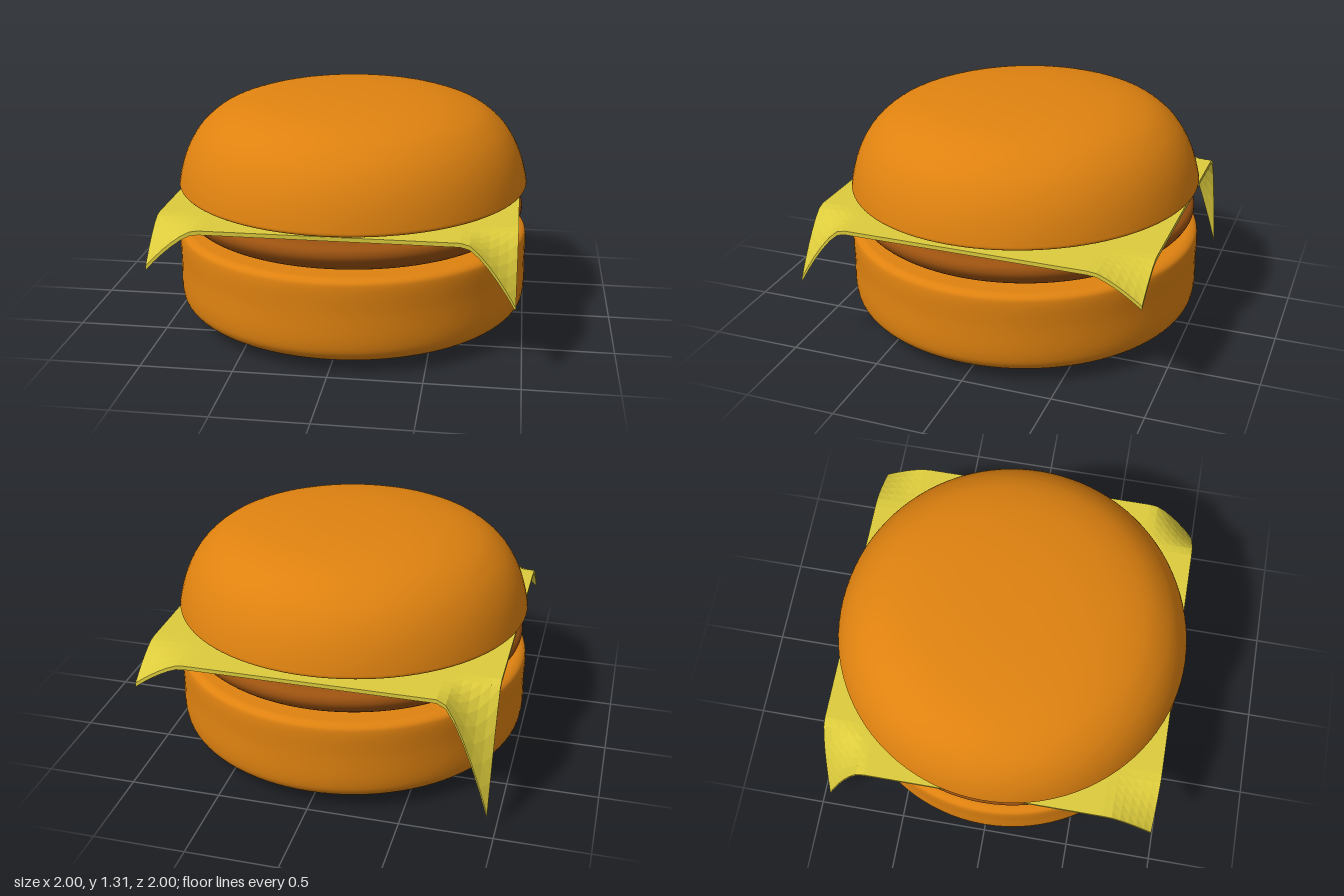
import * as THREE from 'three';

const BUN = 0xdf8210, PATTY = 0x9c5210, CHEESE = 0xdccb3c;

// Round part: smooth curve through [radius, height] points, bottom to top, turned about y
function turned(name, color, points) {
  const curve = new THREE.CatmullRomCurve3(
    points.map(([r, y]) => new THREE.Vector3(r, y, 0)), false, 'centripetal');
  const profile = curve.getPoints(points.length * 5)
    .map(p => new THREE.Vector2(Math.max(0, p.x), p.y));
  const mesh = new THREE.Mesh(
    new THREE.LatheGeometry(profile, 96),
    new THREE.MeshStandardMaterial({ color }));
  mesh.name = name;
  return mesh;
}

// Square slice whose corners sag by different amounts
function cheeseSlice() {
  const geo = new THREE.BoxGeometry(1.91, 0.022, 1.9, 40, 1, 40);
  const pos = geo.attributes.position;
  const ramp = d => Math.max(0, (Math.abs(d) - 0.69) / 0.26);
  for (let i = 0; i < pos.count; i++) {
    const x = pos.getX(i), z = pos.getZ(i);
    const sag = x > 0 ? (z > 0 ? 0.32 : 0.14) : (z > 0 ? 0.2 : 0.63);
    const drop = sag * Math.pow(ramp(x) * ramp(z), 1.4);
    pos.setY(i, pos.getY(i) - drop);
  }
  const flat = geo.toNonIndexed();
  flat.computeVertexNormals();
  const mesh = new THREE.Mesh(flat, new THREE.MeshStandardMaterial({
    color: CHEESE, flatShading: true, side: THREE.DoubleSide }));
  mesh.name = 'cheeseSlice';
  mesh.position.y = 0.743;
  return mesh;
}

export function createModel() {
  const group = new THREE.Group();
  group.name = 'burger';

  // Bottom bun: slightly domed base, straight wall, tight upper edge
  group.add(turned('bottomBun', BUN, [
    [0, 0], [0.35, 0.006], [0.65, 0.022], [0.85, 0.045], [0.94, 0.075], [0.985, 0.12],
    [1, 0.18], [1, 0.35], [1, 0.49], [0.992, 0.52], [0.965, 0.537], [0.92, 0.54], [0, 0.54]]));

  // Patty: fullest near its top
  group.add(turned('patty', PATTY, [
    [0, 0.535], [0.78, 0.536], [0.88, 0.555], [0.94, 0.595], [0.972, 0.645],
    [0.968, 0.68], [0.945, 0.7], [0.9, 0.708], [0, 0.71]]));

  group.add(cheeseSlice());

  // Top bun: domed, tipped slightly toward the front
  const topBun = turned('topBun', BUN, [
    [0, 0], [0.88, 0], [0.96, 0.005], [0.99, 0.02], [0.988, 0.05], [0.955, 0.17],
    [0.91, 0.265], [0.85, 0.345], [0.75, 0.425], [0.61, 0.48], [0.43, 0.513],
    [0.22, 0.53], [0, 0.534]]);
  topBun.position.y = 0.776;
  topBun.rotation.x = 0.022;
  group.add(topBun);

  return group;
}
